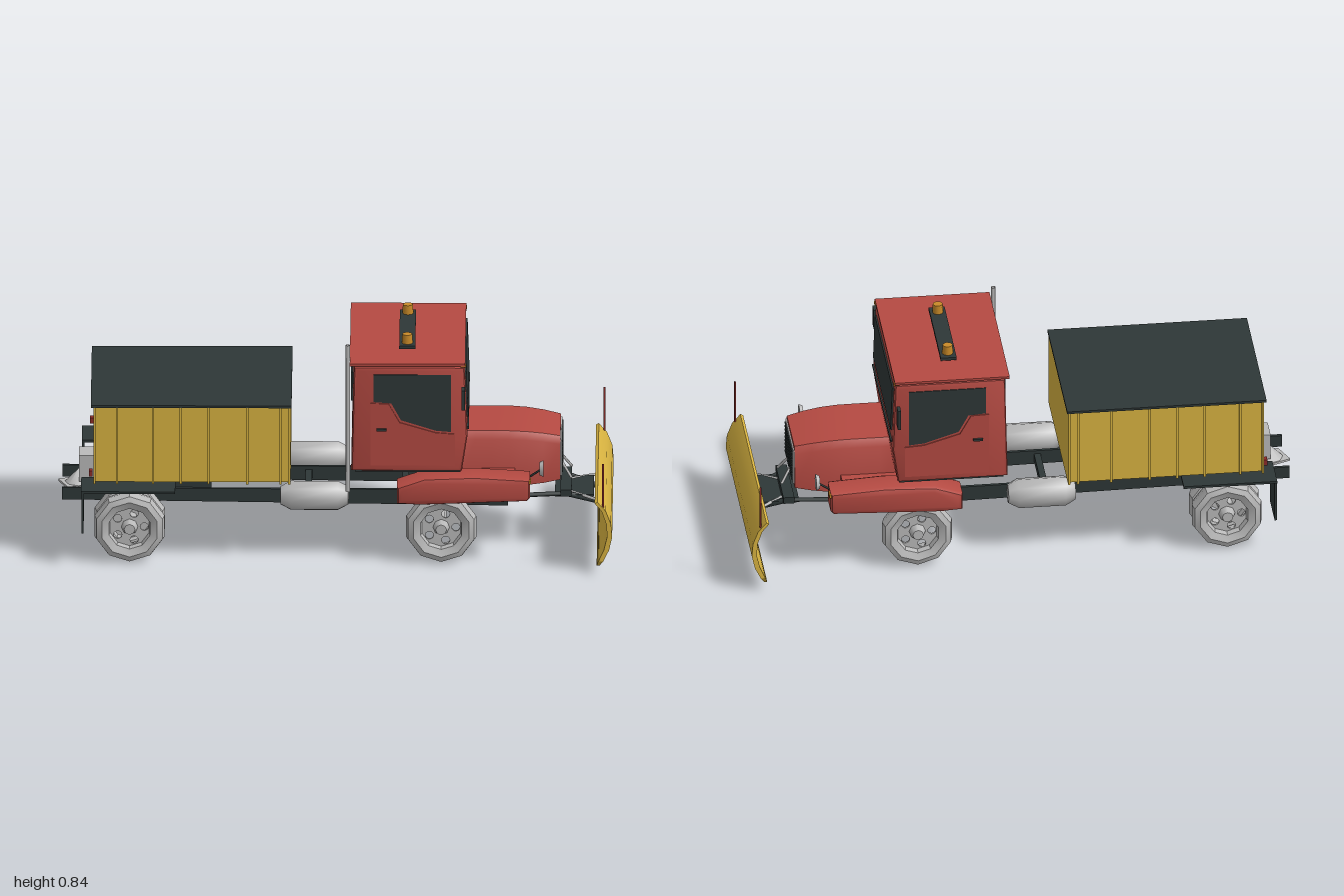
import * as THREE from 'three';
import { toCreasedNormals } from 'three/addons/utils/BufferGeometryUtils.js';

const mat = (name, color, side = THREE.FrontSide) => {
  const m = new THREE.MeshStandardMaterial({ color, side });
  m.name = name;
  return m;
};

export function createModel() {
  const red = mat('red paint', 0xb54a42), yellow = mat('yellow paint', 0xd9b441, THREE.DoubleSide);
  const dark = mat('dark trim', 0x2e3737, THREE.DoubleSide), grey = mat('light grey metal', 0xbababa, THREE.DoubleSide);
  const amber = mat('amber lens', 0xc98a28), maroon = mat('marker red', 0x8c2b28), edge = mat('worn yellow', 0x8f7526);
  const model = new THREE.Group();

  const add = (name, geo, material, x = 0, y = 0, z = 0, parent = model) => {
    const m = new THREE.Mesh(geo, material);
    m.name = name;
    m.position.set(x, y, z);
    parent.add(m);
    return m;
  };
  // box given by its limits
  const box = (name, material, x0, x1, y0, y1, z0, z1) =>
    add(name, new THREE.BoxGeometry(x1 - x0, y1 - y0, z1 - z0), material, (x0 + x1) / 2, (y0 + y1) / 2, (z0 + z1) / 2);
  const shapeOf = pts => new THREE.Shape(pts.map(p => new THREE.Vector2(...p)));
  // side profile (x, y) extruded from z0 to z1 with a rounded rim
  const slab = (pts, z0, z1, bevel = 0) => {
    const g = new THREE.ExtrudeGeometry(shapeOf(pts), {
      depth: z1 - z0 - 2 * bevel, bevelEnabled: bevel > 0, bevelSize: bevel, bevelOffset: -bevel,
      bevelThickness: bevel, bevelSegments: 2,
    });
    g.translate(0, 0, z0 + bevel);
    return toCreasedNormals(g, 0.7);
  };
  const rod = (name, a, b, r, material, sides = 6) => {
    const va = new THREE.Vector3(...a), vb = new THREE.Vector3(...b);
    return add(name, new THREE.TubeGeometry(new THREE.LineCurve3(va, vb), 1, r, sides), material);
  };
  const mirrored = fn => [1, -1].forEach(fn);

  // chassis
  mirrored(s => {
    add('frameRail', slab([[-0.99, 0.185], [0.62, 0.165], [0.62, 0.225], [-0.99, 0.23]], s * 0.115 - 0.006, s * 0.115 + 0.006), dark);
  });
  [-0.6, -0.1, 0.25].forEach(x => box('crossMember', dark, x - 0.012, x + 0.012, 0.185, 0.215, -0.11, 0.11));

  // wheels: faceted tyre, pierced disc and hub
  const tyreProfile = [[0.078, -0.03], [0.105, -0.04], [0.125, -0.032], [0.133, 0], [0.125, 0.032], [0.105, 0.04], [0.078, 0.03], [0.072, 0], [0.078, -0.03]];
  const tyreGeo = toCreasedNormals(new THREE.LatheGeometry(tyreProfile.map(p => new THREE.Vector2(...p)), 10).rotateX(Math.PI / 2), 0.6);
  const disc = new THREE.Shape().absarc(0, 0, 0.08, 0, Math.PI * 2);
  for (let i = 0; i < 5; i++) {
    const a = i * Math.PI * 0.4;
    disc.holes.push(new THREE.Path().absarc(Math.cos(a) * 0.053, Math.sin(a) * 0.053, 0.015, 0, Math.PI * 2));
  }
  const discGeo = new THREE.ExtrudeGeometry(disc, { depth: 0.008, bevelEnabled: false, curveSegments: 6 });
  const hubGeo = new THREE.CylinderGeometry(0.02, 0.032, 0.035, 8).rotateX(Math.PI / 2);
  const wheel = (name, x, z, s) => {
    const g = new THREE.Group();
    g.name = name;
    g.position.set(x, 0.134, z);
    if (s < 0) g.rotation.y = Math.PI;
    add('tyre', tyreGeo, grey, 0, 0, 0, g);
    add('wheelDisc', discGeo, grey, 0, 0, 0, g);
    add('hub', hubGeo, grey, 0, 0, 0.02, g);
    model.add(g);
  };
  mirrored(s => {
    wheel('frontWheel', 0.38, s * 0.252, s);
    wheel('rearOuterWheel', -0.745, s * 0.255, s);
    wheel('rearInnerWheel', -0.745, s * 0.175, s);
  });
  [0.38, -0.745].forEach(x => rod('axle', [x, 0.134, -0.25], [x, 0.134, 0.25], 0.018, grey, 8));
  add('differential', new THREE.SphereGeometry(0.055, 8, 6), grey, -0.745, 0.134, 0);

  // fuel tanks
  mirrored(s => {
    const t = [[0, -0.125], [0.035, -0.122], [0.056, -0.085], [0.056, 0.085], [0.035, 0.122], [0, 0.125]];
    add('fuelTank', toCreasedNormals(new THREE.LatheGeometry(t.map(p => new THREE.Vector2(...p)), 8).rotateZ(-Math.PI / 2), 0.9),
      grey, -0.078, 0.233, s * 0.2);
  });

  // hopper body with ribs and cover
  box('hopperBody', yellow, -0.875, -0.165, 0.32, 0.61, -0.295, 0.295);
  box('hopperCover', dark, -0.885, -0.16, 0.608, 0.617, -0.302, 0.302);
  [-0.872, -0.79, -0.66, -0.56, -0.46, -0.32, -0.2, -0.168].forEach(x =>
    box('hopperRib', yellow, x - 0.004, x + 0.004, 0.314, 0.608, -0.302, 0.302));

  // rear fenders, flaps, tail lights and spreader
  mirrored(s => {
    add('rearFender', new THREE.BoxGeometry(0.34, 0.009, 0.15), dark, -0.75, 0.292, s * 0.26);
    add('mudFlap', new THREE.BoxGeometry(0.008, 0.16, 0.14), dark, -0.915, 0.212, s * 0.26);
    add('tailLight', new THREE.BoxGeometry(0.012, 0.022, 0.025), maroon, -0.885, 0.345, s * 0.268);
    add('bodyMount', new THREE.BoxGeometry(0.7, 0.095, 0.02), dark, -0.52, 0.27, s * 0.1).scale.set(0.2, 1, 1);
  });
  box('spreaderChute', grey, -0.93, -0.87, 0.225, 0.325, -0.045, 0.045);
  add('spinnerPlate', new THREE.BoxGeometry(0.09, 0.008, 0.09), grey, -0.945, 0.205, 0).rotation.y = 0.4;
  add('spinnerCone', new THREE.ConeGeometry(0.05, 0.05, 8), grey, -0.93, 0.235, 0);

  // cab
  add('cab', slab([[0.055, 0.365], [0.455, 0.365], [0.475, 0.5], [0.465, 0.768], [0.065, 0.768]], -0.305, 0.305, 0.014), red);
  box('roofPanel', red, 0.05, 0.467, 0.774, 0.783, -0.31, 0.31);
  box('roofSpacer', red, 0.08, 0.44, 0.76, 0.776, -0.27, 0.27);
  box('cabFloor', dark, 0.07, 0.45, 0.358, 0.367, -0.29, 0.29);
  const windscreen = box('windscreen', dark, 0.467, 0.475, 0.565, 0.74, -0.268, 0.268);
  windscreen.rotation.z = 0.037;
  box('wiperRail', dark, 0.472, 0.48, 0.522, 0.53, -0.28, 0.28);
  box('rearWindow', dark, 0.053, 0.061, 0.6, 0.71, -0.2, 0.2);
  const glass = [[0.135, 0.635], [0.2, 0.63], [0.235, 0.565], [0.36, 0.525], [0.415, 0.52], [0.415, 0.74], [0.135, 0.74]];
  const doorPanel = [[0.125, 0.39], [0.43, 0.39], [0.43, 0.512], [0.36, 0.517], [0.23, 0.556], [0.19, 0.628], [0.125, 0.63]];
  mirrored(s => {
    add('sideWindow', slab(glass, s * 0.305 - 0.003, s * 0.305 + 0.003), dark);
    add('doorPanel', slab(doorPanel, s * 0.306 - 0.003, s * 0.306 + 0.003), red);
    add('doorHandle', new THREE.BoxGeometry(0.035, 0.008, 0.01), dark, 0.165, 0.53, s * 0.313);
    add('clearanceLight', new THREE.BoxGeometry(0.02, 0.008, 0.018), amber, 0.46, 0.772, s * 0.296);
    // mirror and bracket
    add('mirror', new THREE.BoxGeometry(0.012, 0.076, 0.038), dark, 0.46, 0.672, s * 0.37);
    rod('mirrorArm', [0.455, 0.612, s * 0.3], [0.46, 0.622, s * 0.345], 0.003, grey);
    rod('mirrorStay', [0.46, 0.622, s * 0.345], [0.46, 0.645, s * 0.358], 0.003, grey);
    // beacons
    add('beacon', new THREE.CylinderGeometry(0.018, 0.02, 0.034, 8), amber, 0.257, 0.822, s * 0.15);
    rod('lightBarPost', [0.257, 0.775, s * 0.15], [0.257, 0.8, s * 0.15], 0.006, dark);
  });
  box('lightBar', dark, 0.228, 0.286, 0.794, 0.805, -0.186, 0.186);
  rod('exhaustStack', [0.043, 0.27, 0.255], [0.043, 0.835, 0.255], 0.008, grey, 8);

  // hood: arched section narrowed towards the nose
  const arch = [[-0.148, 0.25], [0.148, 0.25], [0.146, 0.43], [0.128, 0.457], [-0.128, 0.457], [-0.146, 0.43]];
  const hood = new THREE.ExtrudeGeometry(shapeOf(arch), { depth: 0.37, steps: 6, bevelEnabled: false }).rotateY(Math.PI / 2);
  const p = hood.attributes.position;
  for (let i = 0; i < p.count; i++) {
    const x = p.getX(i) + 0.44, t = Math.max(0, (x - 0.6) / 0.21);
    const y = p.getY(i);
    p.setXYZ(i, x, y + (y > 0.4 ? -0.025 : 0.02) * t * t, p.getZ(i) * (1 - 0.12 * t * t));
  }
  add('hood', toCreasedNormals(hood, 0.6), red);
  box('grille', grey, 0.808, 0.815, 0.28, 0.418, -0.118, 0.118);
  for (let i = 0; i < 9; i++) box('grilleSlat', dark, 0.813, 0.819, 0.29 + i * 0.0145, 0.295 + i * 0.0145, -0.108, 0.108);

  // front fenders and lamps
  const fender = [[0.22, 0.24], [0.3, 0.235], [0.69, 0.25], [0.7, 0.262], [0.7, 0.335], [0.5, 0.347], [0.32, 0.34], [0.22, 0.305]];
  mirrored(s => {
    add('frontFender', slab(fender, s * 0.257 - 0.058, s * 0.257 + 0.058, 0.018), red);
    add('fenderInner', new THREE.BoxGeometry(0.25, 0.06, 0.08), red, 0.52, 0.29, s * 0.17);
    add('turnSignal', new THREE.BoxGeometry(0.008, 0.014, 0.03), amber, 0.701, 0.325, s * 0.292);
    add('headlight', new THREE.CylinderGeometry(0.03, 0.024, 0.014, 6).rotateZ(-Math.PI / 2), grey, 0.742, 0.36, s * 0.257);
    rod('headlightStalk', [0.69, 0.32, s * 0.25], [0.738, 0.355, s * 0.257], 0.004, dark);
  });

  // plow blade, cutting edge and markers
  const blade = [[0.935, 0.28], [0.945, 0.285], [0.975, 0.25], [0.994, 0.2], [0.998, 0.15], [0.987, 0.1], [0.965, 0.055],
    [0.948, 0.055], [0.968, 0.1], [0.98, 0.15], [0.977, 0.2], [0.96, 0.25]];
  add('plowBlade', slab(blade, -0.4, 0.4), yellow);
  add('cuttingEdge', slab([[0.942, 0.04], [0.952, 0.04], [0.967, 0.057], [0.948, 0.057]], -0.4, 0.4), edge);
  mirrored(s => {
    rod('plowMarker', [0.965, 0.262, s * 0.388], [0.965, 0.43, s * 0.388], 0.004, maroon);
    // linkage
    rod('pushArm', [0.6, 0.2, s * 0.115], [0.83, 0.205, s * 0.1], 0.009, dark);
    rod('pushArmFront', [0.83, 0.205, s * 0.1], [0.965, 0.16, s * 0.07], 0.01, dark);
    rod('angleRam', [0.84, 0.2, s * 0.06], [0.97, 0.19, s * 0.15], 0.006, grey);
    rod('liftStay', [0.81, 0.31, s * 0.03], [0.85, 0.25, s * 0.06], 0.005, grey);
  });
  box('plowMount', dark, 0.79, 0.93, 0.192, 0.2, -0.1, 0.1);
  box('plowHitch', dark, 0.81, 0.85, 0.2, 0.225, -0.12, 0.12);

  return model;
}
